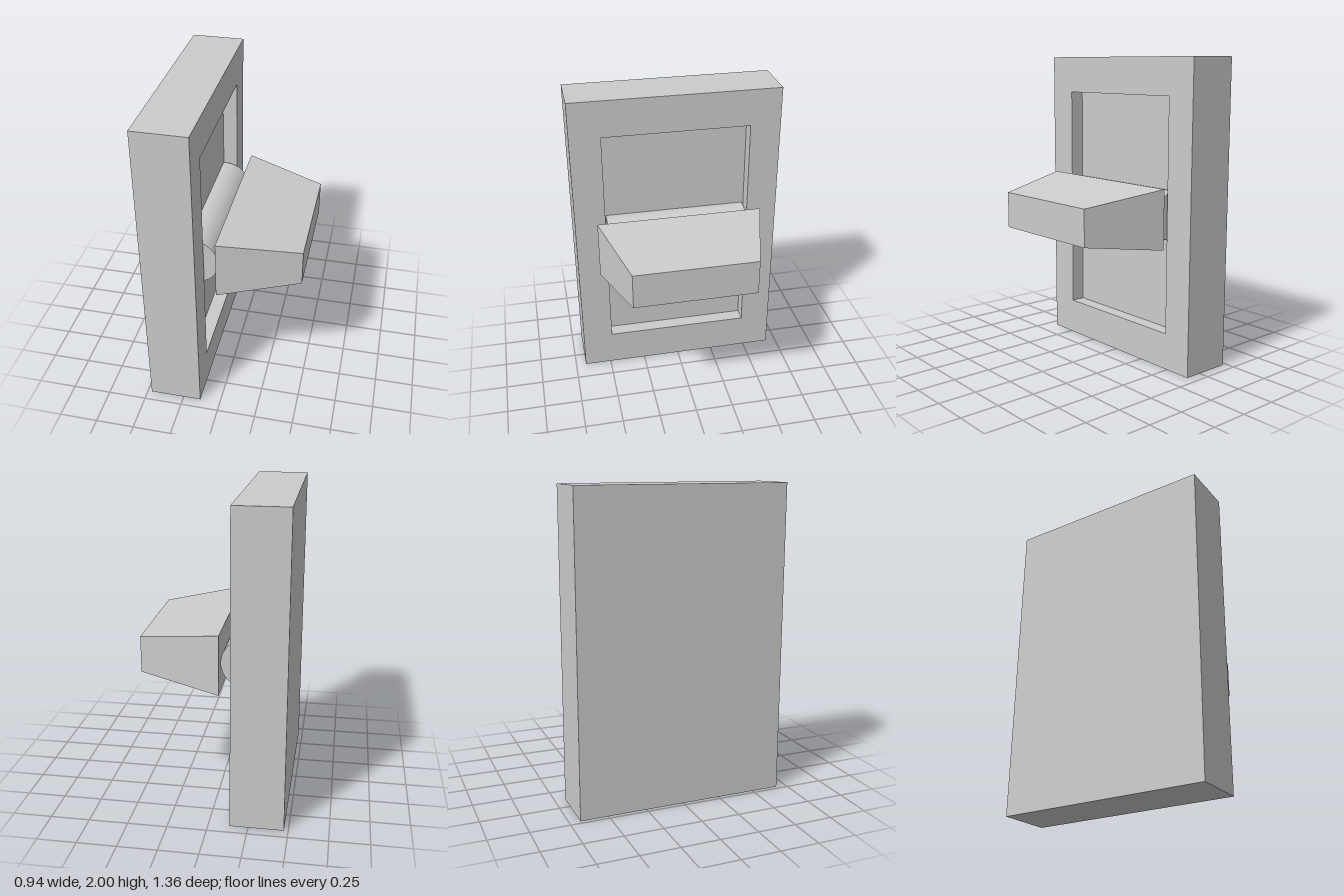
import * as THREE from 'three';

const material = new THREE.MeshStandardMaterial({ color: 0xcccccc });

function addPart(group, name, geometry, x, y, z) {
  const mesh = new THREE.Mesh(geometry, material);
  mesh.name = name;
  mesh.position.set(x, y, z);
  group.add(mesh);
  return mesh;
}

// Counter-clockwise rectangle centred on the origin
function rectangle(PathType, width, height) {
  const w = width / 2, h = height / 2;
  return new PathType([[-w, -h], [w, -h], [w, h], [-w, h]].map(([x, y]) => new THREE.Vector2(x, y)));
}

// Block whose +x end is scaled down in y and z
function taperedBlock(length, height, width, endHeight, endWidth, endShiftY) {
  const geometry = new THREE.BoxGeometry(length, height, width).toNonIndexed();
  const p = geometry.attributes.position;
  for (let i = 0; i < p.count; i++) {
    if (p.getX(i) > 0) {
      p.setY(i, p.getY(i) * endHeight / height + endShiftY);
      p.setZ(i, p.getZ(i) * endWidth / width);
    }
  }
  geometry.computeVertexNormals();
  return geometry;
}

export function createModel() {
  const group = new THREE.Group();
  group.name = 'wallSwitch';

  const back = -0.473, floor = -0.23, face = -0.135;
  const height = 2, width = 1.362;

  // Solid back of the plate, its front forming the recess floor
  addPart(group, 'backPlate', new THREE.BoxGeometry(floor - back, height, width), (back + floor) / 2, 1, 0);

  // Raised frame around the recess
  const frameShape = rectangle(THREE.Shape, width, height);
  frameShape.holes.push(rectangle(THREE.Path, 0.96, 1.52));
  const frame = new THREE.ExtrudeGeometry(frameShape, { depth: face - floor, bevelEnabled: false });
  frame.rotateY(Math.PI / 2);
  addPart(group, 'frame', frame, floor, 1, 0);

  // Pivot barrel lying across the recess
  const barrel = new THREE.CylinderGeometry(0.16, 0.16, 0.936, 32);
  barrel.rotateX(Math.PI / 2);
  addPart(group, 'pivotBarrel', barrel, -0.205, 1.003, 0);

  // Tapered toggle lever
  const start = -0.045, end = 0.47;
  const lever = taperedBlock(end - start, 0.384, 1.086, 0.234, 0.797, -0.006);
  addPart(group, 'lever', lever, (start + end) / 2, 1.009, 0);

  return group;
}
